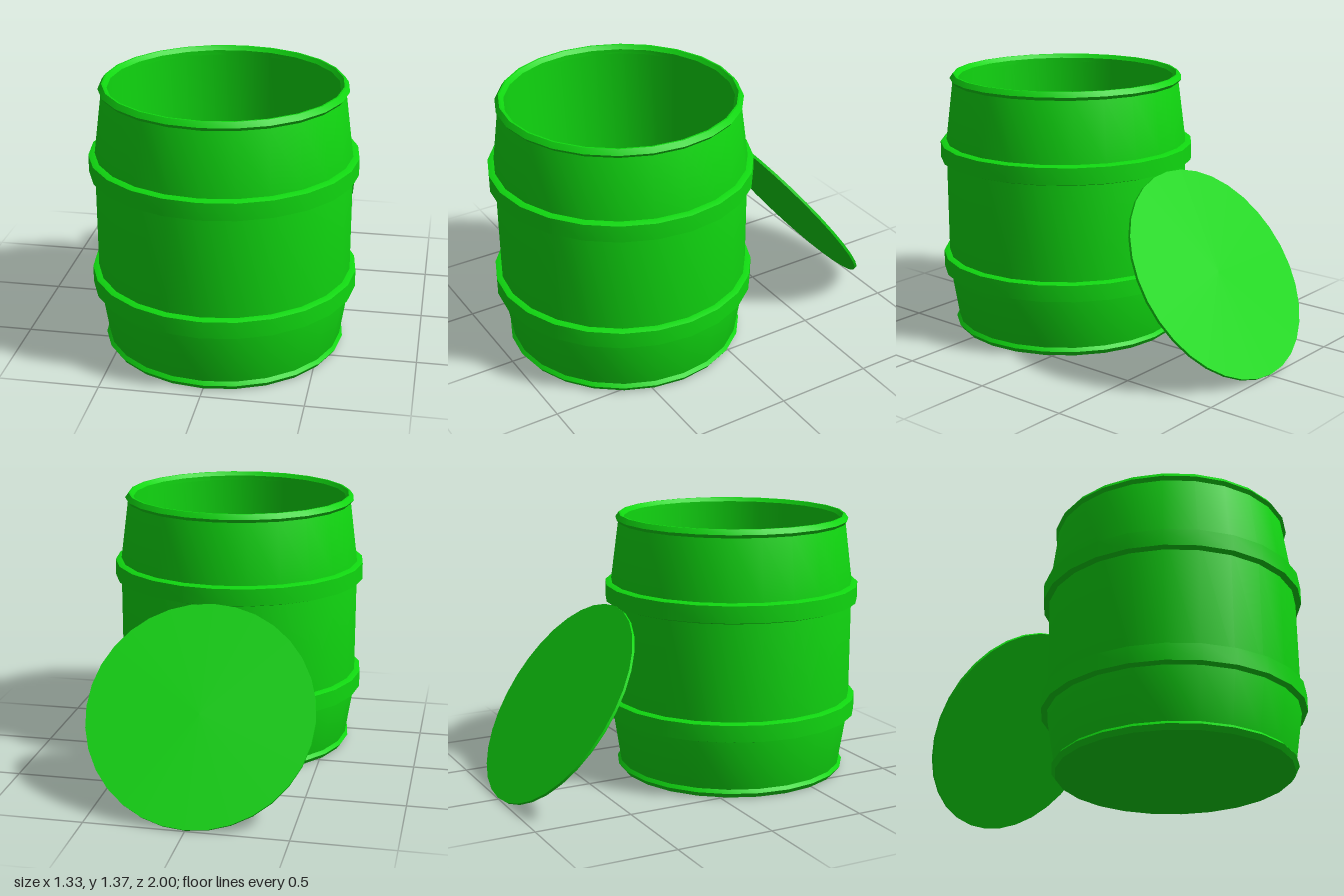
import * as THREE from 'three';
import { toCreasedNormals } from 'three/addons/utils/BufferGeometryUtils.js';

const SIDES = 24;

export function createModel() {
  const model = new THREE.Group();
  model.name = 'openBarrel';
  const material = new THREE.MeshStandardMaterial({ color: 0x10d810 });

  const barrel = new THREE.Group();
  barrel.name = 'barrel';
  barrel.position.z = 0.333;
  model.add(barrel);

  // Revolve a profile of [radius, height] pairs, keeping hard edges sharp
  function turned(name, profile, y = 0) {
    const points = profile.map(([r, h]) => new THREE.Vector2(r, h));
    const geometry = toCreasedNormals(new THREE.LatheGeometry(points, SIDES), 0.6);
    const mesh = new THREE.Mesh(geometry, material);
    mesh.name = name;
    mesh.position.y = y;
    barrel.add(mesh);
  }

  // Hollow body: base, tapered outside, straight inside wall, floor
  turned('body', [
    [0, 0], [0.58, 0], [0.595, 0.04], [0.637, 0.31], [0.637, 1.005],
    [0.595, 1.325], [0.585, 1.355], [0.566, 1.34], [0.566, 0.04], [0, 0.04],
  ]);

  // Two raised hoops with bevelled edges
  const hoop = [[0.63, -0.052], [0.64, -0.052], [0.667, -0.043], [0.667, 0.043], [0.64, 0.052], [0.63, 0.052]];
  turned('lowerHoop', hoop, 0.357);
  turned('upperHoop', hoop, 0.96);

  // Rolled rims at the mouth and the foot
  turned('topRim', [
    [0.58, 1.322], [0.595, 1.322], [0.61, 1.34], [0.592, 1.365], [0.583, 1.365], [0.566, 1.345], [0.566, 1.322],
  ]);
  turned('bottomRim', [[0.575, 0], [0.592, 0], [0.61, 0.025], [0.595, 0.043], [0.58, 0.043]]);

  // Lid leaning against the back of the barrel
  const lid = new THREE.Mesh(new THREE.CylinderGeometry(0.567, 0.567, 0.014, 32), material);
  lid.name = 'lid';
  lid.position.set(0, 0.464, -0.667);
  lid.rotation.x = -0.948;
  model.add(lid);

  return model;
}
